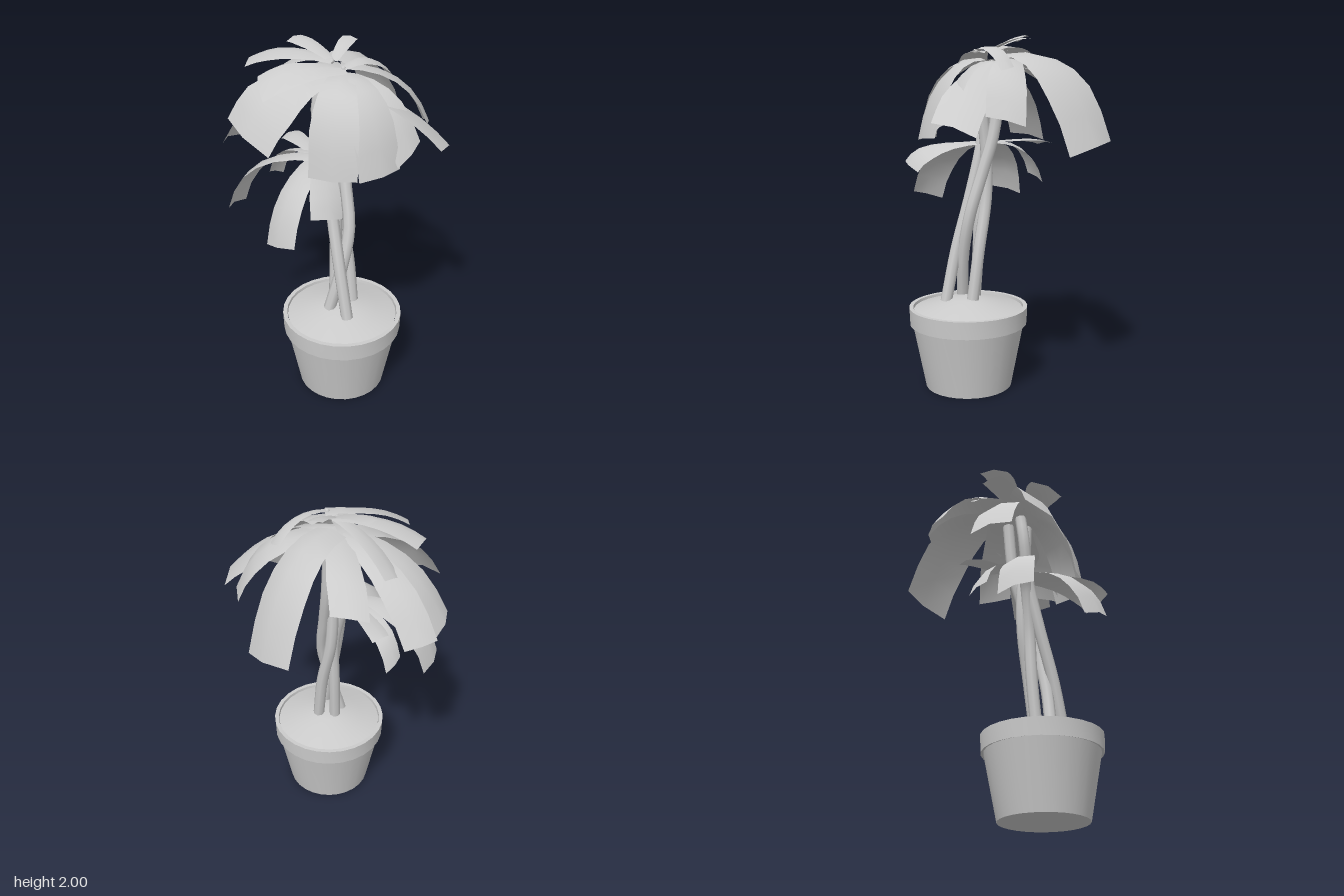
import * as THREE from 'three';
import { toCreasedNormals } from 'three/addons/utils/BufferGeometryUtils.js';

const material = new THREE.MeshStandardMaterial({ color: 0xcccccc });
const leafMaterial = new THREE.MeshStandardMaterial({ color: 0xcccccc, side: THREE.DoubleSide });
const vec = (a) => new THREE.Vector3(...a);

function lathe(name, profile) {
  const points = profile.map(([r, y]) => new THREE.Vector2(r, y));
  const mesh = new THREE.Mesh(toCreasedNormals(new THREE.LatheGeometry(points, 28), 0.6), material);
  mesh.name = name;
  return mesh;
}

// Arched, blunt-ended ribbon with a raised midrib, from a root to two tip corners
function leaf(root, cornerA, cornerB, lift, bend) {
  const a = vec(root), b = vec(cornerA).lerp(vec(cornerB), 0.5);
  const control = a.clone().lerp(b, bend);
  control.y = a.y + lift;
  const curve = new THREE.QuadraticBezierCurve3(a, control, b);
  const tipSide = vec(cornerB).sub(vec(cornerA)).multiplyScalar(0.5);
  const rootSide = new THREE.Vector3(-(b.z - a.z), 0, b.x - a.x).setLength(tipSide.length() * 0.55);
  if (rootSide.dot(tipSide) < 0) tipSide.negate();
  const steps = 6, positions = [], index = [];
  for (let i = 0; i <= steps; i++) {
    const t = i / steps;
    const p = curve.getPoint(t);
    const side = rootSide.clone().lerp(tipSide, Math.min(1, t * 1.6));
    const up = side.clone().cross(curve.getTangent(t));
    for (let j = -1; j <= 1; j++) {
      const q = p.clone().addScaledVector(side, j);
      if (j === 0) q.addScaledVector(up, 0.22);
      positions.push(q.x, q.y, q.z);
    }
    if (i === steps) continue;
    for (let j = 0; j < 2; j++) {
      const k = i * 3 + j;
      index.push(k, k + 1, k + 3, k + 1, k + 4, k + 3);
    }
  }
  const geometry = new THREE.BufferGeometry();
  geometry.setAttribute('position', new THREE.Float32BufferAttribute(positions, 3));
  geometry.setIndex(index);
  geometry.computeVertexNormals();
  const mesh = new THREE.Mesh(geometry, leafMaterial);
  mesh.name = 'leaf';
  return mesh;
}

// Each leaf: two tip corners, lift, and optional own root and bend
function crown(name, root, bend, leaves) {
  const group = new THREE.Group();
  group.name = name;
  for (const [cornerA, cornerB, lift, ownRoot = root, ownBend = bend] of leaves) {
    group.add(leaf(ownRoot, cornerA, cornerB, lift, ownBend));
  }
  return group;
}

export function createModel() {
  const model = new THREE.Group();

  // Pot and soil
  const pot = new THREE.Group();
  pot.name = 'pot';
  pot.position.set(0.065, 0, 0.2);
  pot.add(lathe('potShell', [
    [0, 0], [0.25, 0], [0.323, 0.375], [0.338, 0.37], [0.342, 0.47], [0.318, 0.47], [0.312, 0.43],
  ]));
  pot.add(lathe('soil', [[0.314, 0.455], [0.2, 0.488], [0.1, 0.515], [0, 0.53]]));
  model.add(pot);

  // Twisted trunks
  const trunks = [
    [[0.11, 0.5, 0.32], [0.06, 0.8, 0.27], [0.01, 1.1, 0.2], [-0.03, 1.4, 0.14], [-0.08, 1.65, 0.12], [-0.06, 1.82, 0.1]],
    [[0.0, 0.51, 0.25], [0.06, 0.75, 0.23], [0.1, 1.0, 0.18], [0.07, 1.25, 0.11], [0.04, 1.48, 0.05], [0.02, 1.82, 0.02]],
    [[0.12, 0.52, 0.16], [0.09, 0.8, 0.13], [0.03, 1.1, 0.1], [0.02, 1.35, 0.1], [0.04, 1.6, 0.12], [0.05, 1.82, 0.13]],
    [[0.02, 0.52, 0.17], [0.02, 0.8, 0.15], [0.02, 1.1, 0.14], [-0.03, 1.33, 0.13], [-0.07, 1.41, 0.12]],
  ];
  for (const path of trunks) {
    const curve = new THREE.CatmullRomCurve3(path.map(vec));
    const trunk = new THREE.Mesh(new THREE.TubeGeometry(curve, 18, 0.034, 8), material);
    trunk.name = 'trunk';
    model.add(trunk);
  }

  // Lower crown
  model.add(crown('lowerCrown', [-0.06, 1.4, 0.12], 0.82, [
    [[-0.52, 1.05, 0.0], [-0.57, 1.09, 0.19], 0.03],
    [[-0.3, 1.04, 0.45], [-0.13, 1.1, 0.58], 0.0],
    [[-0.33, 1.15, -0.17], [-0.39, 1.2, -0.07], 0.02],
    [[-0.33, 1.38, -0.14], [-0.26, 1.39, -0.24], 0.02],
    [[-0.04, 1.29, 0.6], [0.1, 1.24, 0.48], 0.0],
  ]));

  // Long drooping leaves of the upper crown
  model.add(crown('upperCrown', [0.0, 1.85, 0.07], 0.68, [
    [[0.09, 1.43, -0.6], [0.35, 1.36, -0.41], 0.05, [0.0, 1.88, -0.02]],
    [[-0.27, 1.63, -0.41], [-0.08, 1.66, -0.44], 0.0],
    [[-0.59, 1.49, -0.29], [-0.44, 1.47, -0.39], 0.0],
    [[-0.61, 1.43, 0.08], [-0.57, 1.39, -0.14], -0.06],
    [[-0.55, 1.61, 0.15], [-0.29, 1.5, 0.37], 0.0],
    [[-0.08, 1.43, 0.42], [0.17, 1.43, 0.44], 0.0, [0.05, 1.86, 0.14], 0.85],
    [[0.18, 1.43, 0.45], [0.37, 1.45, 0.3], 0.0, [0.07, 1.86, 0.12], 0.75],
    [[0.46, 1.55, 0.17], [0.36, 1.46, 0.32], 0.0],
    [[0.61, 1.47, 0.02], [0.57, 1.54, 0.26], -0.14],
    [[0.46, 1.52, -0.2], [0.49, 1.57, 0.0], 0.0, [0.02, 1.86, -0.04], 0.75],
  ]));

  // Short spreading leaves on top
  model.add(crown('topCrown', [0.0, 1.92, 0.07], 0.6, [
    [[-0.47, 1.86, 0.05], [-0.44, 1.88, -0.11], 0.05],
    [[-0.37, 1.86, 0.18], [-0.31, 1.79, 0.35], 0.03, [0.07, 1.9, 0.15]],
    [[0.25, 1.82, -0.1], [0.32, 1.79, -0.05], 0.06, [0.06, 1.91, 0.15]],
    [[0.02, 1.99, -0.14], [0.1, 1.98, -0.12], 0.06],
    [[-0.26, 1.98, -0.03], [-0.2, 1.99, -0.12], 0.07],
    [[-0.37, 1.74, -0.15], [-0.31, 1.77, -0.25], 0.0],
  ]));

  // Small buds at the growing points
  for (const at of [[0.06, 1.91, 0.15], [-0.01, 1.92, 0.07]]) {
    const bud = new THREE.Mesh(new THREE.SphereGeometry(0.014, 8, 6), material);
    bud.name = 'bud';
    bud.position.set(...at);
    model.add(bud);
  }
  return model;
}
